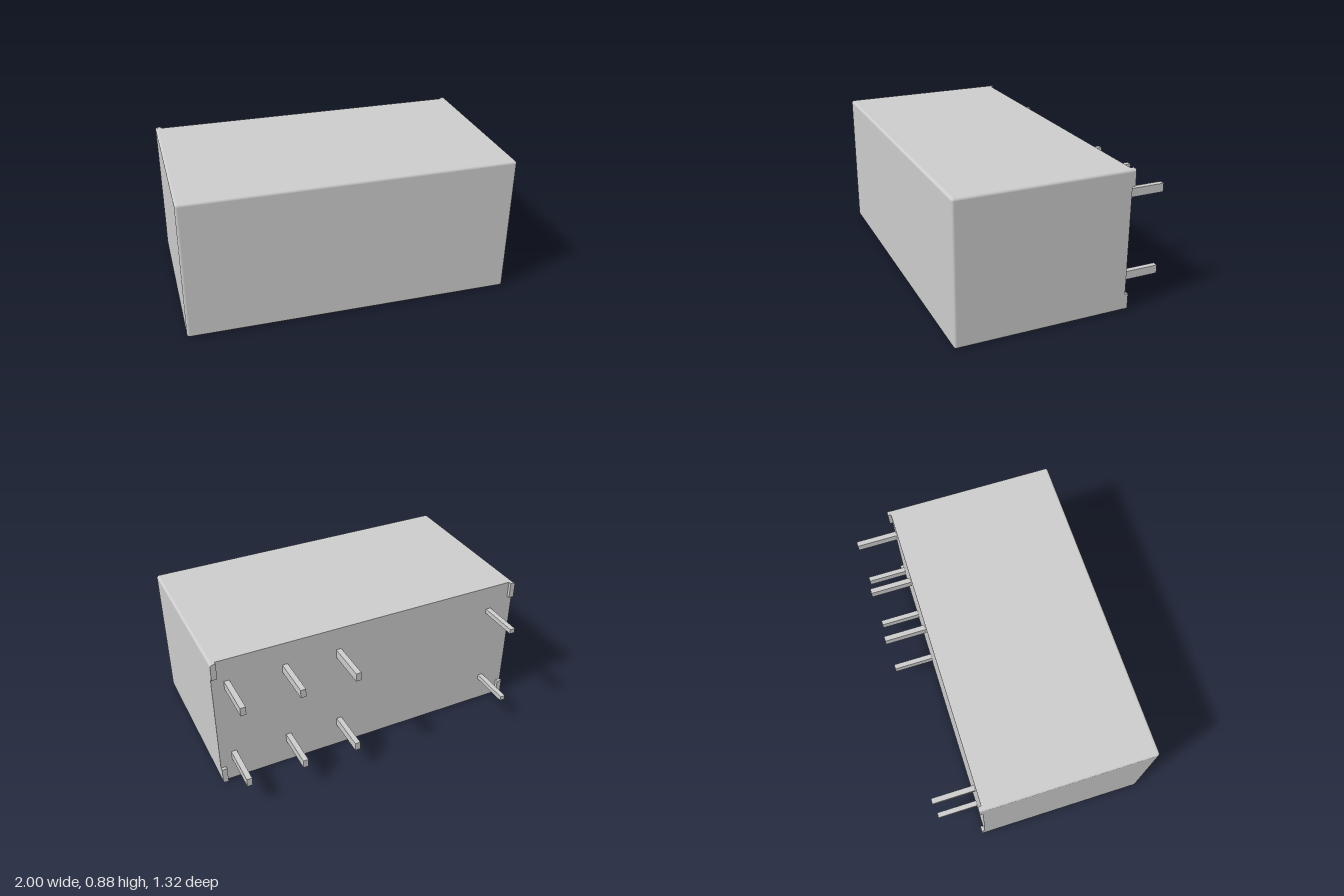
import * as THREE from 'three';
import { RoundedBoxGeometry } from 'three/addons/geometries/RoundedBoxGeometry.js';

const W = 2, H = 0.875, FRONT = 0.66, BACK = -0.4, R = 0.016;

// Rounded box whose back edges are pressed flat into the back plane
function caseGeometry() {
  const depth = FRONT - BACK + R;
  const geo = new RoundedBoxGeometry(W, H, depth, 4, R);
  geo.translate(0, H / 2, FRONT - depth / 2);
  const pos = geo.attributes.position, nor = geo.attributes.normal;
  for (let i = 0; i < pos.count; i += 3) {
    const corners = [i, i + 1, i + 2];
    const behind = corners.every((k) => pos.getZ(k) < BACK + 1e-4);
    for (const k of corners) {
      if (pos.getZ(k) < BACK) pos.setZ(k, BACK);
      if (behind) nor.setXYZ(k, 0, 0, -1);
    }
  }
  return geo;
}

// Corner standoff with its outer corner rounded like the case
function footGeometry(sx, sy) {
  const w = 0.033, h = 0.103;
  const s = new THREE.Shape();
  s.moveTo(-sx * w, -sy * h);
  s.lineTo(0, -sy * h);
  s.lineTo(0, -sy * R);
  s.quadraticCurveTo(0, 0, -sx * R, 0);
  s.lineTo(-sx * w, 0);
  s.closePath();
  return new THREE.ExtrudeGeometry(s, { depth: 0.02, bevelEnabled: false, curveSegments: 5 });
}

export function createModel() {
  const group = new THREE.Group();
  const material = new THREE.MeshStandardMaterial({ color: 0xcccccc });
  const add = (name, geometry, x, y, z) => {
    const mesh = new THREE.Mesh(geometry, material);
    mesh.name = name;
    mesh.position.set(x, y, z);
    group.add(mesh);
  };

  add('case', caseGeometry(), 0, 0, 0);

  // Four standoffs at the corners of the back
  for (const sx of [-1, 1])
    for (const sy of [-1, 1])
      add('standoff', footGeometry(sx, sy), sx * W / 2, sy > 0 ? H : 0, BACK - 0.02);

  // Two rows of pins: thin coil pins at one end, flat contact pins at the other
  const pins = [
    ['coilPin', -0.83, 0.03],
    ['contactPin', 0.22, 0.053],
    ['contactPin', 0.56, 0.053],
    ['contactPin', 0.91, 0.053],
  ];
  const length = 0.26;
  for (const y of [0.18, 0.703])
    for (const [name, x, height] of pins)
      add(name, new THREE.BoxGeometry(0.033, height, length), x, y, BACK - length / 2);

  return group;
}
